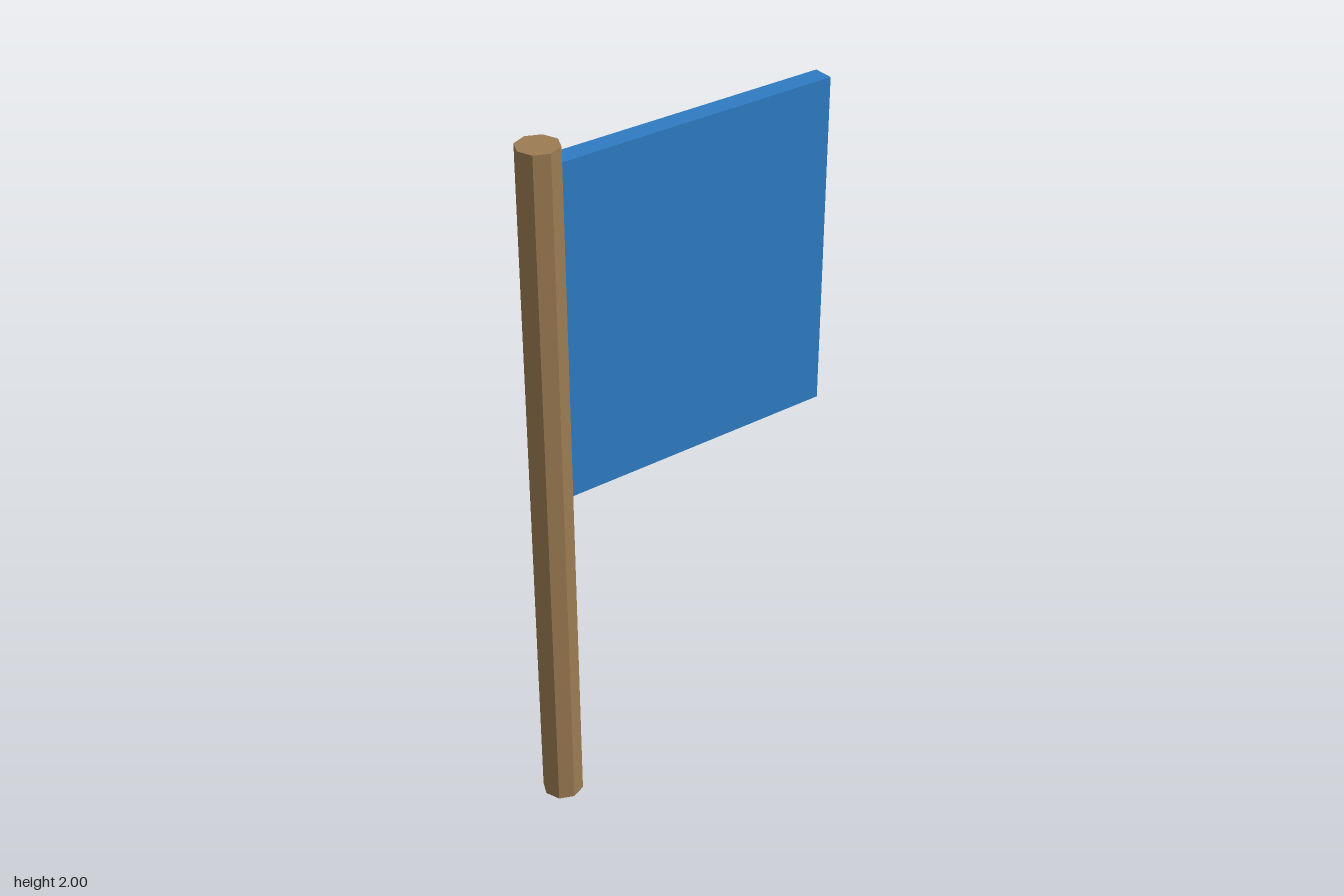
import * as THREE from 'three';

export function createModel() {
  const model = new THREE.Group();
  const add = (name, geometry, color, x, y) => {
    const material = new THREE.MeshStandardMaterial({ color, flatShading: true });
    const mesh = new THREE.Mesh(geometry, material);
    mesh.name = name;
    mesh.position.set(x, y, 0);
    model.add(mesh);
  };

  // Eight-sided wooden pole
  add('pole', new THREE.CylinderGeometry(0.057, 0.057, 2, 8), 0x9c7c54, -0.4, 1);

  // Flat flag panel, its inner edge set into the pole
  const inner = -0.4, outer = 0.457, bottom = 1, top = 1.953;
  add('flag', new THREE.BoxGeometry(outer - inner, top - bottom, 0.057), 0x2e7cc3,
    (inner + outer) / 2, (bottom + top) / 2);

  return model;
}
